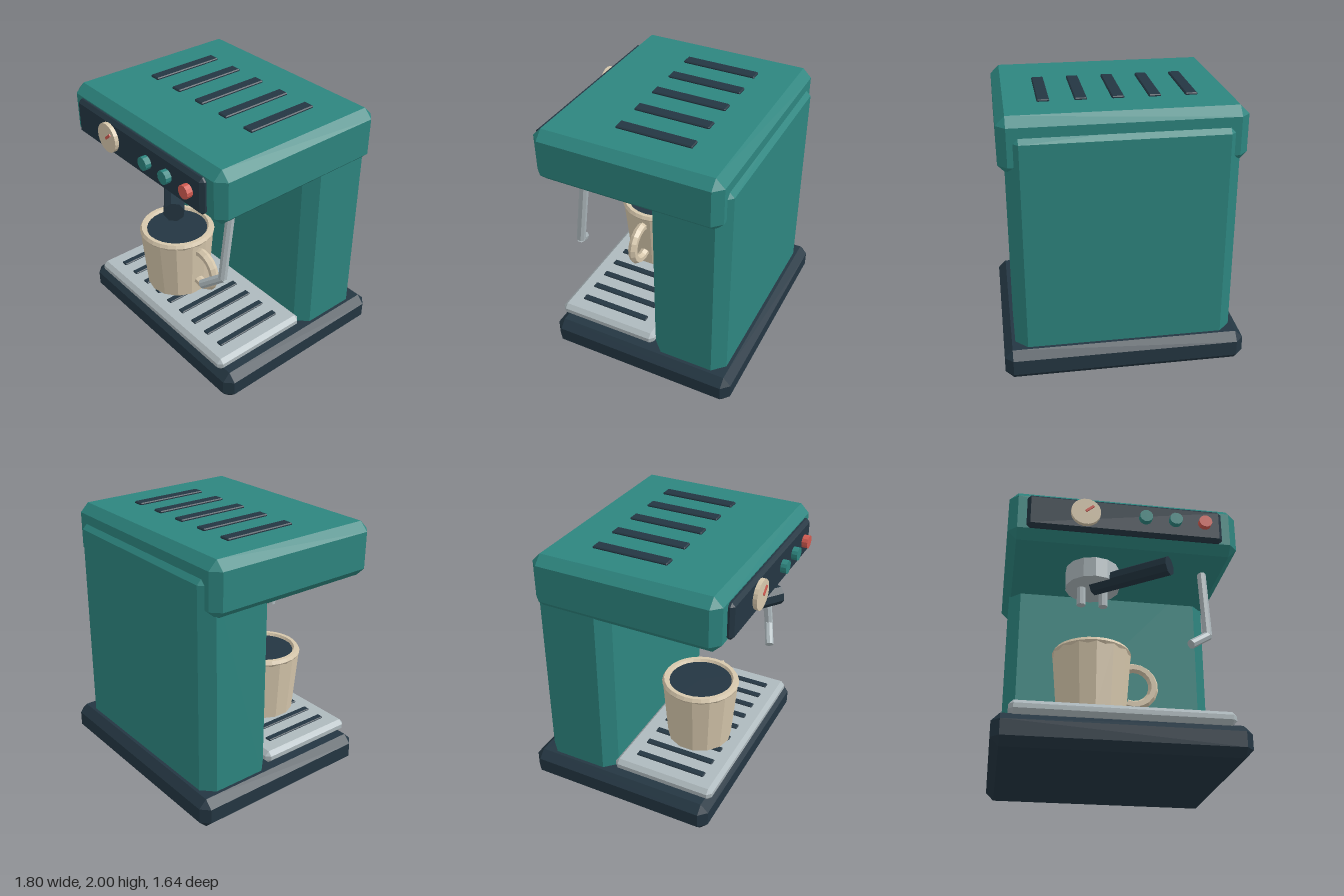
import * as THREE from 'three';
import { ConvexGeometry } from 'three/addons/geometries/ConvexGeometry.js';

const mat = (name, color) => {
  const m = new THREE.MeshStandardMaterial({ color });
  m.name = name;
  return m;
};

// Faceted normals for low-poly shapes
function flat(geometry) {
  const g = geometry.index ? geometry.toNonIndexed() : geometry;
  g.computeVertexNormals();
  return g;
}

// Box given by its ranges, with every edge cut by c
function chamferBox([x0, x1], [y0, y1], [z0, z1], c) {
  const h = [(x1 - x0) / 2, (y1 - y0) / 2, (z1 - z0) / 2];
  const points = [];
  for (const sx of [-1, 1]) for (const sy of [-1, 1]) for (const sz of [-1, 1]) {
    for (let face = 0; face < 3; face++) {
      const p = h.map((v, axis) => (axis === face ? v : v - c));
      points.push(new THREE.Vector3(p[0] * sx, p[1] * sy, p[2] * sz));
    }
  }
  return new ConvexGeometry(points).translate((x0 + x1) / 2, (y0 + y1) / 2, (z0 + z1) / 2);
}

// Straight faceted rod between two points
function rod(a, b, radius, sides) {
  const from = new THREE.Vector3(...a), to = new THREE.Vector3(...b);
  const dir = to.clone().sub(from);
  const g = new THREE.CylinderGeometry(radius, radius, dir.length(), sides);
  g.rotateY(Math.PI / sides);
  g.applyQuaternion(new THREE.Quaternion().setFromUnitVectors(new THREE.Vector3(0, 1, 0), dir.normalize()));
  const mid = from.add(to).multiplyScalar(0.5);
  return flat(g.translate(mid.x, mid.y, mid.z));
}

export function createModel() {
  const model = new THREE.Group();
  model.name = 'espressoMachine';
  const teal = mat('teal enamel', 0x2d857f);
  const dark = mat('dark slate', 0x243642);
  const steel = mat('steel', 0xaeb9bd);
  const cream = mat('cream ceramic', 0xd6c7ac);
  const red = mat('red', 0xd05a50);

  const add = (name, geometry, material, parent = model) => {
    const mesh = new THREE.Mesh(geometry, material);
    mesh.name = name;
    parent.add(mesh);
    return mesh;
  };
  const group = (name) => {
    const g = new THREE.Group();
    g.name = name;
    model.add(g);
    return g;
  };

  // Body
  add('base', chamferBox([-0.9, 0.9], [0, 0.235], [-0.82, 0.685], 0.06), dark);
  add('column', chamferBox([-0.815, 0.815], [0.12, 1.9], [-0.735, -0.135], 0.09), teal);
  add('head', chamferBox([-0.868, 0.868], [1.575, 1.985], [-0.7, 0.732], 0.066), teal);

  // Vents on top
  const vents = group('topVents');
  for (let i = -2; i <= 2; i++) {
    const x = i * 0.263;
    add('vent', chamferBox([x - 0.044, x + 0.044], [1.97, 2], [-0.36, 0.22], 0.007), dark, vents);
  }

  // Control panel with gauge and buttons
  const panel = group('controlPanel');
  add('panelPlate', chamferBox([-0.735, 0.735], [1.638, 1.915], [0.71, 0.775], 0.026), dark, panel);
  add('gauge', rod([-0.305, 1.78, 0.76], [-0.305, 1.78, 0.806], 0.111, 20), cream, panel);
  const needle = add('gaugeNeedle', new THREE.BoxGeometry(0.075, 0.018, 0.016), red, panel);
  needle.position.set(-0.278, 1.803, 0.808);
  needle.rotation.z = 0.7;
  [[0.145, teal], [0.372, teal], [0.597, red]].forEach(([x, m]) =>
    add('button', rod([x, 1.78, 0.76], [x, 1.78, 0.82], 0.05, 12), m, panel));

  // Brew group, spouts and handle
  const brew = group('brewGroup');
  const bx = -0.19, bz = 0.305;
  add('brewHead', flat(new THREE.CylinderGeometry(0.21, 0.21, 0.2, 14).translate(bx, 1.512, bz)), steel, brew);
  for (const s of [-1, 1]) {
    const x = bx + s * 0.085;
    add('spout', rod([x, 1.45, bz], [x, 1.265, bz], 0.035, 8), steel, brew);
  }
  add('brewHandle', rod([-0.183, 1.435, 0.316], [0.333, 1.435, 0.704], 0.075, 8), dark, brew);

  // Steam wand
  const wand = group('steamWand');
  add('wandPipe', rod([0.645, 1.53, 0.452], [0.645, 0.96, 0.53], 0.034, 8), steel, wand);
  add('wandTip', rod([0.652, 0.968, 0.525], [0.497, 0.85, 0.6], 0.034, 8), steel, wand);

  // Drip tray with slots
  const tray = group('dripTray');
  add('trayPlate', chamferBox([-0.79, 0.79], [0.228, 0.326], [-0.14, 0.675], 0.032), steel, tray);
  for (let i = -4; i <= 4; i++) {
    const x = i * 0.158;
    add('traySlot', chamferBox([x - 0.027, x + 0.027], [0.315, 0.337], [-0.01, 0.555], 0.006), dark, tray);
  }

  // Cup: tapered body, rounded rim, drink and looped handle
  const cup = group('cup');
  cup.position.set(bx, 0, bz);
  add('cupBody', flat(new THREE.CylinderGeometry(0.292, 0.25, 0.495, 14).translate(0, 0.5875, 0)), cream, cup);
  add('cupRim', flat(new THREE.TorusGeometry(0.266, 0.03, 6, 28).rotateX(Math.PI / 2).translate(0, 0.839, 0)), cream, cup);
  add('drink', flat(new THREE.CylinderGeometry(0.25, 0.25, 0.008, 28).translate(0, 0.84, 0)), dark, cup);
  const arc = 3.9;
  const loop = new THREE.TorusGeometry(0.148, 0.037, 6, 11, arc).rotateZ(-arc / 2);
  add('cupHandle', flat(loop.translate(0.315, 0.615, 0)), cream, cup);

  return model;
}
